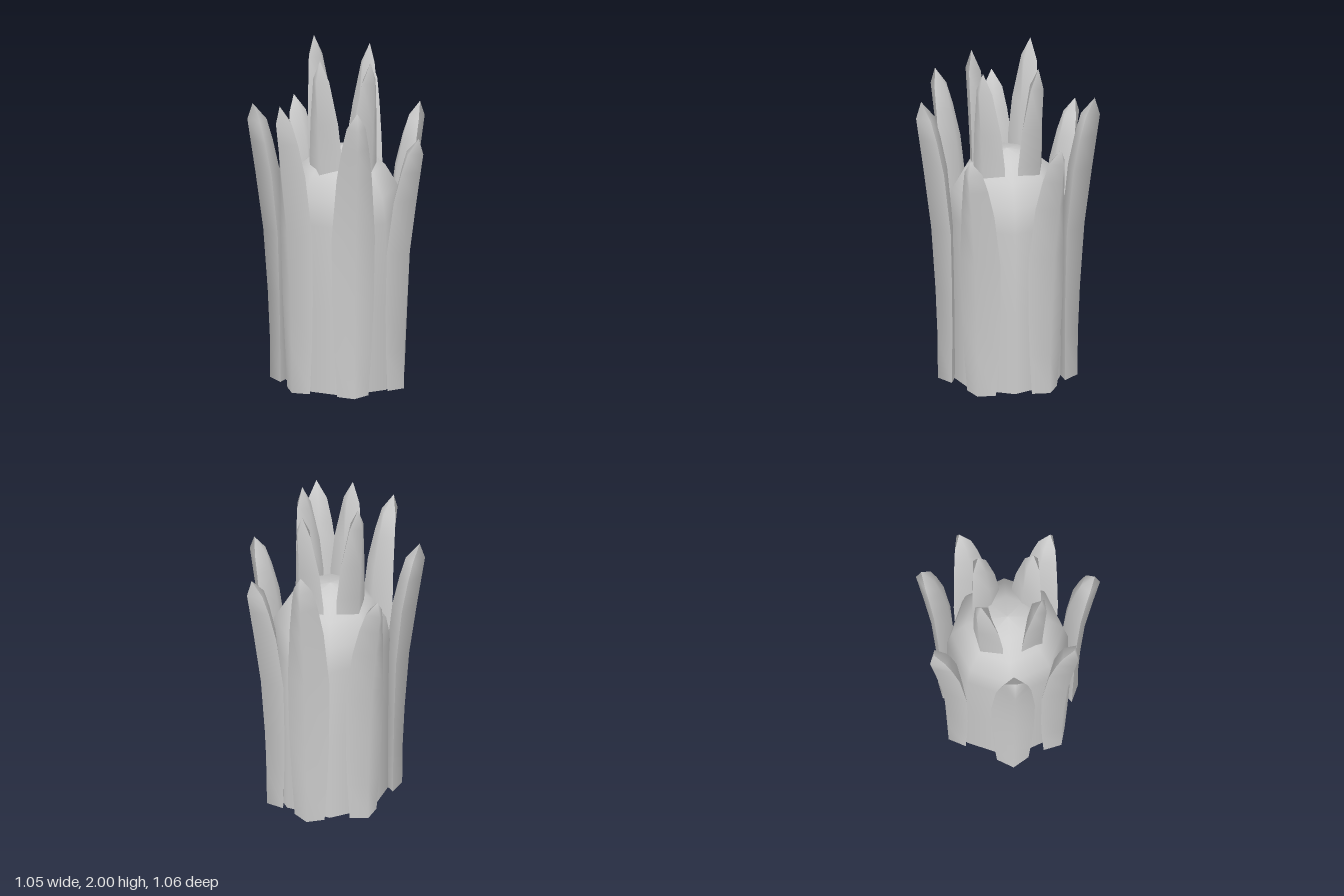
import * as THREE from 'three';

const rad = THREE.MathUtils.degToRad;

// Blade with a rhombic section: rounded outer ridge, sharp side edges, pointed tip.
// Each ring is [y, sideRadius, halfWidth, ridgeRadius, innerRadius].
function bladeGeometry(rings, tipY, tipR) {
  const pos = [], idx = [];
  const strip = (corners) => {
    const base = pos.length / 3;
    rings.forEach((r) => corners(r).forEach(([x, z]) => pos.push(x, r[0], z)));
    pos.push(0, tipY, tipR);
    const last = rings.length - 1, tip = base + rings.length * 3;
    for (let i = 0; i <= last; i++) {
      for (let j = 0; j < 2; j++) {
        const a = base + i * 3 + j;
        if (i < last) idx.push(a, a + 1, a + 3, a + 1, a + 4, a + 3);
        else idx.push(a, a + 1, tip);
      }
    }
  };
  strip(([, s, w, o]) => [[-w, s], [0, o], [w, s]]);
  strip(([, s, w, , n]) => [[w, s], [0, n], [-w, s]]);

  // flat underside
  const [y, s, w, o, n] = rings[0];
  const b = pos.length / 3;
  pos.push(0, y, o, w, y, s, 0, y, n, -w, y, s);
  idx.push(b, b + 2, b + 1, b, b + 3, b + 2);

  const g = new THREE.BufferGeometry();
  g.setAttribute('position', new THREE.Float32BufferAttribute(pos, 3));
  g.setIndex(idx);
  g.computeVertexNormals();
  return g;
}

export function createModel() {
  const model = new THREE.Group();
  const body = new THREE.Group();
  body.name = 'plant';
  body.position.set(-0.01, 0, -0.005);
  model.add(body);

  const grey = new THREE.MeshStandardMaterial({ color: 0xcccccc });
  grey.name = 'pale grey';

  const add = (name, geometry, angle = 0) => {
    const mesh = new THREE.Mesh(geometry, grey);
    mesh.name = name;
    mesh.rotation.y = rad(angle);
    body.add(mesh);
    return mesh;
  };

  // eight-sided core with a domed top
  const profile = [[0.345, 0], [0.345, 0.5], [0.345, 1.0]];
  for (let i = 1; i <= 4; i++) {
    const a = (i / 4) * Math.PI / 2;
    profile.push([i === 4 ? 0 : 0.345 * Math.cos(a), 1.0 + 0.39 * Math.sin(a)]);
  }
  add('core', new THREE.LatheGeometry(profile.map(([x, y]) => new THREE.Vector2(x, y)), 8));
  add('coreBase', new THREE.CircleGeometry(0.345, 8).rotateX(Math.PI / 2));

  // seven outer leaves, bending outward: [angle, height]
  const leafRings = [
    [0, 0.355, 0.09, 0.41, 0.30],
    [0.16, 0.357, 0.107, 0.412, 0.305],
    [0.34, 0.362, 0.12, 0.424, 0.31],
    [0.58, 0.372, 0.125, 0.45, 0.32],
    [0.8, 0.405, 0.102, 0.495, 0.355],
    [0.92, 0.44, 0.078, 0.522, 0.395],
    [1, 0.47, 0.055, 0.54, 0.43],
  ];
  const leaves = [[0, 1.75], [54, 1.75], [103, 1.52], [164, 1.57], [206, 1.75], [257, 1.55], [316.5, 1.65]];
  for (const [angle, h] of leaves) {
    const rings = leafRings.map(([t, ...r]) => [t * 0.942 * h, ...r]);
    add('outerLeaf', bladeGeometry(rings, h, 0.51), angle);
  }

  // four taller inner leaves rising through the dome
  const innerRings = [
    [-1.0, 0.155, 0.11, 0.225, 0.11],
    [-0.6, 0.165, 0.112, 0.235, 0.12],
    [-0.38, 0.18, 0.095, 0.247, 0.135],
    [-0.12, 0.212, 0.055, 0.262, 0.165],
  ];
  for (const [angle, h] of [[10, 1.96], [90, 1.94], [180, 1.95], [270, 2.0]]) {
    const rings = innerRings.map(([dy, ...r]) => [h + dy, ...r]);
    add('innerLeaf', bladeGeometry(rings, h, 0.225), angle);
  }

  return model;
}
